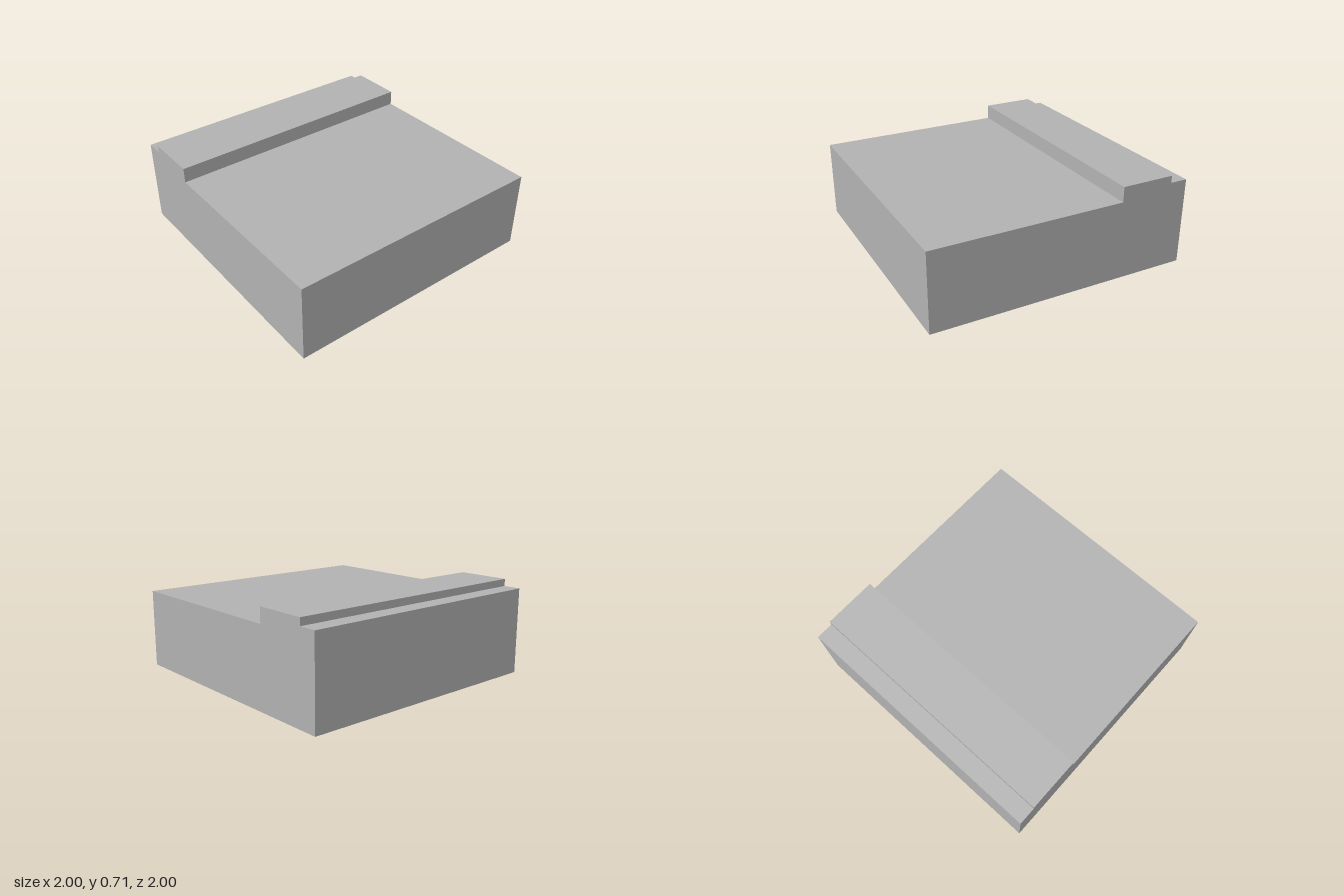
import * as THREE from 'three';

// Outline of the block across x, from the left foot over the steps to the right foot
const PROFILE = [
  [-1, 0], [-1, 0.66], [-0.865, 0.66], [-0.865, 0.715],
  [-0.455, 0.715], [-0.455, 0.6], [1, 0.6], [1, 0],
];
const NAMES = ['sideWall', 'lowLedge', 'ledgeRiser', 'raisedStrip', 'stripRiser', 'mainRoof', 'sideWall'];
const DEPTH = 2;

export function createModel() {
  const group = new THREE.Group();
  group.name = 'steppedShell';
  const grey = new THREE.MeshStandardMaterial({ color: 0xb2b2b2, side: THREE.DoubleSide });
  grey.name = 'grey';

  const add = (name, geometry) => {
    const mesh = new THREE.Mesh(geometry, grey);
    mesh.name = name;
    group.add(mesh);
    return mesh;
  };

  // Walls, risers and roof panels: one flat panel per outline segment, open underneath
  NAMES.forEach((name, i) => {
    const [x0, y0] = PROFILE[i];
    const [x1, y1] = PROFILE[i + 1];
    const panel = new THREE.PlaneGeometry(Math.hypot(x1 - x0, y1 - y0), DEPTH);
    panel.rotateX(-Math.PI / 2);
    panel.rotateZ(Math.atan2(y1 - y0, x1 - x0));
    panel.translate((x0 + x1) / 2, (y0 + y1) / 2, 0);
    add(name, panel);
  });

  // Front and back walls follow the stepped outline
  const outline = new THREE.Shape(PROFILE.map(([x, y]) => new THREE.Vector2(x, y)));
  add('frontWall', new THREE.ShapeGeometry(outline).translate(0, 0, DEPTH / 2));

  // Back wall faces outward: flip the triangle order and normals
  const back = new THREE.ShapeGeometry(outline).translate(0, 0, -DEPTH / 2);
  back.setIndex(Array.from(back.index.array).reverse());
  back.computeVertexNormals();
  add('backWall', back);

  return group;
}
